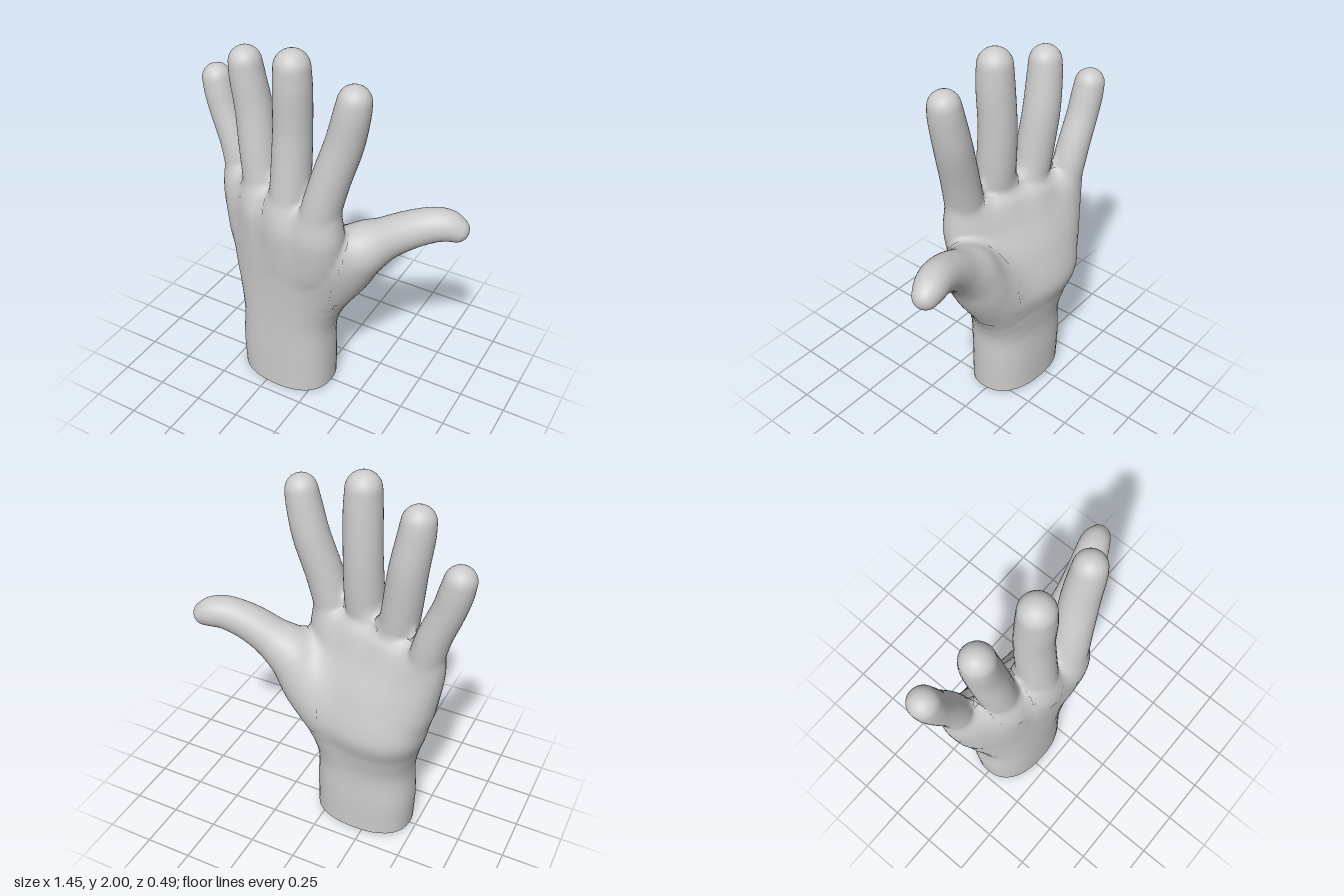
import * as THREE from 'three';

const SIDES = 40, FILLET = 0.11, POWER = 2.35;
const V = (x, y, z) => new THREE.Vector3(x, y, z);
const material = new THREE.MeshStandardMaterial({ color: 0xcccccc });

// Wrist and palm sections: y, centre x, centre z, half width, half thickness, tilt
const PALM = [
  [0, -0.198, 0, 0.27, 0.19, 0.04],
  [0.2, -0.2, 0, 0.275, 0.19, 0.05],
  [0.4, -0.195, 0.002, 0.27, 0.187, 0.08],
  [0.55, -0.198, -0.008, 0.295, 0.197, 0.16],
  [0.7, -0.2, -0.022, 0.338, 0.212, 0.23],
  [0.9, -0.19, 0.008, 0.378, 0.188, 0.25],
  [1.06, -0.202, 0.032, 0.388, 0.147, 0.28],
  [1.15, -0.21, 0.035, 0.372, 0.115, 0.28],
  [1.21, -0.21, 0.035, 0.335, 0.078, 0.28],
  [1.245, -0.21, 0.035, 0.28, 0.02, 0.28],
];

// Fingers and thumb, from root to tip: x, y, z, radius
const DIGITS = {
  indexFinger: [[0.02, 0.9, 0.09, 0.09], [0.045, 1.08, 0.127, 0.104], [0.07, 1.22, 0.13, 0.1],
    [0.115, 1.4, 0.118, 0.096], [0.175, 1.6, 0.1, 0.093], [0.212, 1.76, 0.1, 0.087], [0.224, 1.83, 0.1, 0.08]],
  middleFinger: [[-0.13, 0.9, 0.07, 0.085], [-0.128, 1.08, 0.108, 0.1], [-0.125, 1.22, 0.098, 0.1],
    [-0.12, 1.4, 0.08, 0.1], [-0.115, 1.6, 0.07, 0.096], [-0.108, 1.8, 0.077, 0.094], [-0.107, 1.912, 0.08, 0.088]],
  ringFinger: [[-0.3, 0.9, 0, 0.085], [-0.315, 1.08, 0.045, 0.095], [-0.327, 1.22, 0.028, 0.097],
    [-0.35, 1.4, 0.015, 0.097], [-0.375, 1.6, 0.002, 0.094], [-0.4, 1.77, 0.008, 0.088], [-0.407, 1.845, 0.012, 0.082]],
  littleFinger: [[-0.46, 0.9, -0.06, 0.08], [-0.49, 1.08, -0.058, 0.086], [-0.52, 1.22, -0.072, 0.086],
    [-0.555, 1.35, -0.08, 0.083], [-0.61, 1.5, -0.085, 0.08], [-0.638, 1.6, -0.088, 0.08], [-0.652, 1.665, -0.09, 0.076]],
  thumb: [[-0.06, 0.5, -0.02, 0.09], [0.09, 0.755, -0.03, 0.15], [0.2, 0.935, -0.025, 0.145],
    [0.32, 1.035, -0.05, 0.11], [0.44, 1.115, -0.078, 0.096], [0.55, 1.163, -0.113, 0.087],
    [0.615, 1.168, -0.138, 0.079], [0.66, 1.153, -0.15, 0.064]],
};

// Smoothly resamples rows of numbers with splines, three columns at a time
function resample(rows, count) {
  const width = rows[0].length, out = [];
  const curves = [];
  for (let c = 0; c < width; c += 3)
    curves.push(new THREE.CatmullRomCurve3(rows.map(r => V(r[c], r[c + 1] ?? 0, r[c + 2] ?? 0)), false, 'catmullrom', 0.5));
  for (let i = 0; i <= count; i++)
    out.push(curves.flatMap(k => k.getPoint(i / count).toArray()).slice(0, width));
  return out;
}

const palmRows = resample(PALM, 72);
const digitRows = Object.fromEntries(Object.entries(DIGITS).map(([n, rows]) => [n, resample(rows, 30)]));
const digitList = Object.values(digitRows);

const superNorm = (u, v) => (Math.abs(u) ** POWER + Math.abs(v) ** POWER) ** (1 / POWER);

// Approximate distance to the palm, measured in its level section
function palmDistance(p) {
  let i = 0;
  while (i < palmRows.length - 2 && palmRows[i + 1][0] < p.y) i++;
  const r0 = palmRows[i], r1 = palmRows[i + 1];
  const t = THREE.MathUtils.clamp((p.y - r0[0]) / (r1[0] - r0[0]), 0, 1);
  const [, cx, cz, a, b, tilt] = r0.map((v, k) => v + (r1[k] - v) * t);
  const c = Math.cos(tilt), s = Math.sin(tilt), x = p.x - cx, z = p.z - cz;
  const k = Math.max(superNorm((x * c + z * s) / a, (z * c - x * s) / b), 1e-3);
  const d = Math.hypot(x, z) * (1 - 1 / k);
  const over = p.y - palmRows[palmRows.length - 1][0];
  return over > 0 ? Math.hypot(Math.max(d, 0), over) : d;
}

// Distance to a chain of tapered round segments
function digitDistance(p, rows) {
  let best = Infinity;
  for (let i = 0; i < rows.length - 1; i++) {
    const [ax, ay, az, ar] = rows[i], [bx, by, bz, br] = rows[i + 1];
    const dx = bx - ax, dy = by - ay, dz = bz - az;
    const px = p.x - ax, py = p.y - ay, pz = p.z - az;
    const t = Math.min(1, Math.max(0, (px * dx + py * dy + pz * dz) / (dx * dx + dy * dy + dz * dz)));
    best = Math.min(best, Math.hypot(px - dx * t, py - dy * t, pz - dz * t) - ar - (br - ar) * t);
  }
  return best;
}

// Whole hand: digits joined to the palm with a soft fillet
function handDistance(p) {
  const palm = palmDistance(p), digit = Math.min(...digitList.map(r => digitDistance(p, r)));
  const h = Math.max(FILLET - Math.abs(palm - digit), 0);
  return Math.min(palm, digit) - h * h / (4 * FILLET);
}

function gradient(p, e = 0.01) {
  const g = V(0, 0, 0);
  for (const axis of ['x', 'y', 'z']) {
    const hi = p.clone(), lo = p.clone();
    hi[axis] += e;
    lo[axis] -= e;
    g[axis] = (handDistance(hi) - handDistance(lo)) / (2 * e);
  }
  return g;
}

// Pushes a skin point onto the filleted surface; points well inside stay put
function settle(p) {
  for (let i = 0; i < 3; i++) {
    const d = handDistance(p);
    if (d < -0.036 || Math.abs(d) < 1e-4) break;
    const g = gradient(p);
    const step = THREE.MathUtils.clamp(d / Math.max(g.lengthSq(), 0.2), -0.03, 0.03);
    p.addScaledVector(g, -step);
  }
}

// Skins rings of points into a geometry
function loft(rings, normals) {
  const geometry = new THREE.BufferGeometry(), index = [], n = rings[0].length;
  for (let i = 0; i < rings.length - 1; i++)
    for (let j = 0; j < n - 1; j++) {
      const a = i * n + j, b = a + 1, c = a + n, d = c + 1;
      index.push(a, c, b, b, c, d);
    }
  geometry.setFromPoints(rings.flat());
  geometry.setIndex(index);
  if (normals) geometry.setAttribute('normal', new THREE.Float32BufferAttribute(normals, 3));
  else geometry.computeVertexNormals();
  return geometry;
}

function skin(rings) {
  const normals = [];
  for (const p of rings.flat()) {
    settle(p);
    normals.push(...gradient(p, 0.02).normalize().toArray());
    // The cut end of the wrist slopes slightly
    if (p.y < 0.4) p.y += (1 - p.y / 0.4) * (0.015 - 0.06 * p.z);
  }
  return loft(rings, normals);
}

const around = fn => Array.from({ length: SIDES + 1 }, (_, j) => fn(((j % SIDES) / SIDES) * Math.PI * 2));

function palmRings() {
  const rings = palmRows.map(([y, cx, cz, a, b, tilt]) => around(angle => {
    const c = Math.cos(angle), s = Math.sin(angle), k = 1 / superNorm(c, s);
    const u = a * k * c, v = b * k * s;
    return V(cx + u * Math.cos(tilt) - v * Math.sin(tilt), y, cz + u * Math.sin(tilt) + v * Math.cos(tilt));
  }));
  const [y, cx, cz] = palmRows[palmRows.length - 1];
  rings.push(around(() => V(cx, y, cz)));
  return rings;
}

function digitRings(rows) {
  const rings = [], last = rows.length - 1;
  const addRing = (i, lift, scale) => {
    const [x, y, z, r] = rows[i], from = rows[Math.max(i - 1, 0)], to = rows[Math.min(i + 1, last)];
    const t = V(to[0] - from[0], to[1] - from[1], to[2] - from[2]).normalize();
    const u = t.clone().cross(V(0, 0, 1)).normalize(), v = u.clone().cross(t);
    rings.push(around(angle => V(x, y, z).addScaledVector(t, lift * r)
      .addScaledVector(u, Math.cos(angle) * r * scale).addScaledVector(v, Math.sin(angle) * r * scale)));
  };
  rows.forEach((_, i) => addRing(i, 0, 1));
  // Rounded fingertip
  for (let k = 1; k <= 8; k++) addRing(last, Math.sin(k * Math.PI / 16), Math.cos(k * Math.PI / 16));
  return rings;
}

export function createModel() {
  const hand = new THREE.Group();
  hand.name = 'hand';
  const add = (name, geometry) => {
    const mesh = new THREE.Mesh(geometry, material);
    mesh.name = name;
    hand.add(mesh);
  };

  const rings = palmRings();
  add('palmAndWrist', skin(rings));

  // Flat cut end of the wrist
  const rim = rings[0].map(p => p.clone());
  const centre = rim.slice(1).reduce((sum, p) => sum.add(p), V(0, 0, 0)).divideScalar(SIDES);
  add('wristEnd', loft([rim.map(() => centre.clone()), rim]));

  for (const [name, rows] of Object.entries(digitRows)) add(name, skin(digitRings(rows)));
  return hand;
}
